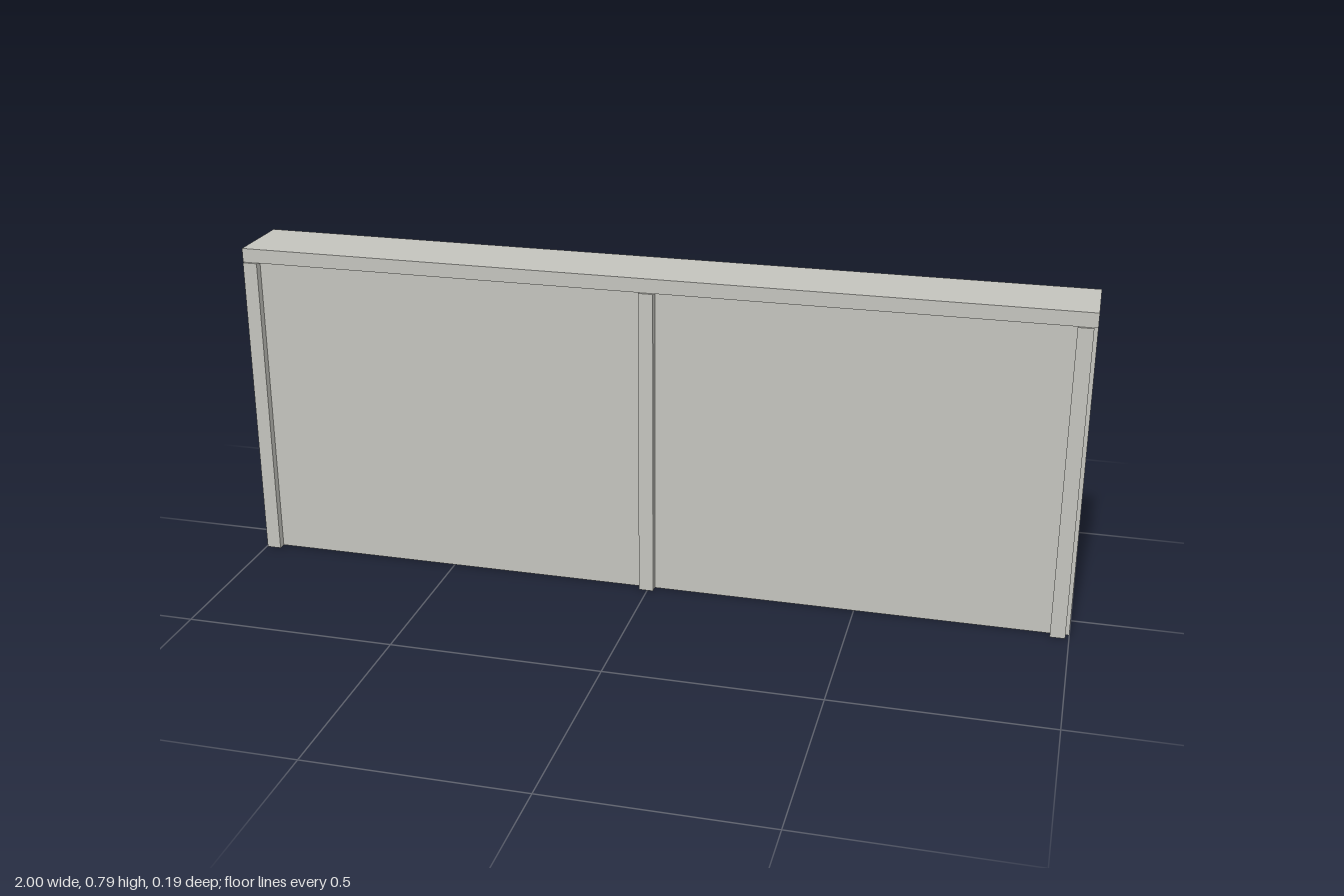
import * as THREE from 'three';

const HEIGHT = 0.785, LEDGE_Y = 0.751;
const CAP_Z = 0.087, PANEL_Z = 0.074, POST_Z = 0.093;
const POST_WIDTH = 0.035;

export function createModel() {
  const group = new THREE.Group();
  const stone = new THREE.MeshStandardMaterial({ color: 0xc3c3bd });
  stone.name = 'pale grey stone';

  // Wall with overhanging cap: one T-shaped section extruded along x
  const section = new THREE.Shape([
    [-PANEL_Z, 0], [PANEL_Z, 0], [PANEL_Z, LEDGE_Y], [CAP_Z, LEDGE_Y],
    [CAP_Z, HEIGHT], [-CAP_Z, HEIGHT], [-CAP_Z, LEDGE_Y], [-PANEL_Z, LEDGE_Y],
  ].map(([z, y]) => new THREE.Vector2(z, y)));
  const wallGeometry = new THREE.ExtrudeGeometry(section, { depth: 2, bevelEnabled: false });
  wallGeometry.translate(0, 0, -1).rotateY(Math.PI / 2);
  const wall = new THREE.Mesh(wallGeometry, stone);
  wall.name = 'wallAndCap';
  group.add(wall);

  // Three slim posts on each face, reaching up to the cap
  const depth = POST_Z - PANEL_Z;
  const postGeometry = new THREE.BoxGeometry(POST_WIDTH, LEDGE_Y, depth);
  for (const [side, sign] of [['front', 1], ['back', -1]]) {
    [-0.98, -0.003, 0.974].forEach((x, i) => {
      const post = new THREE.Mesh(postGeometry, stone);
      post.name = side + ['Right', 'Middle', 'Left'][i] + 'Post';
      post.position.set(x, LEDGE_Y / 2, sign * (PANEL_Z + depth / 2));
      group.add(post);
    });
  }
  return group;
}
